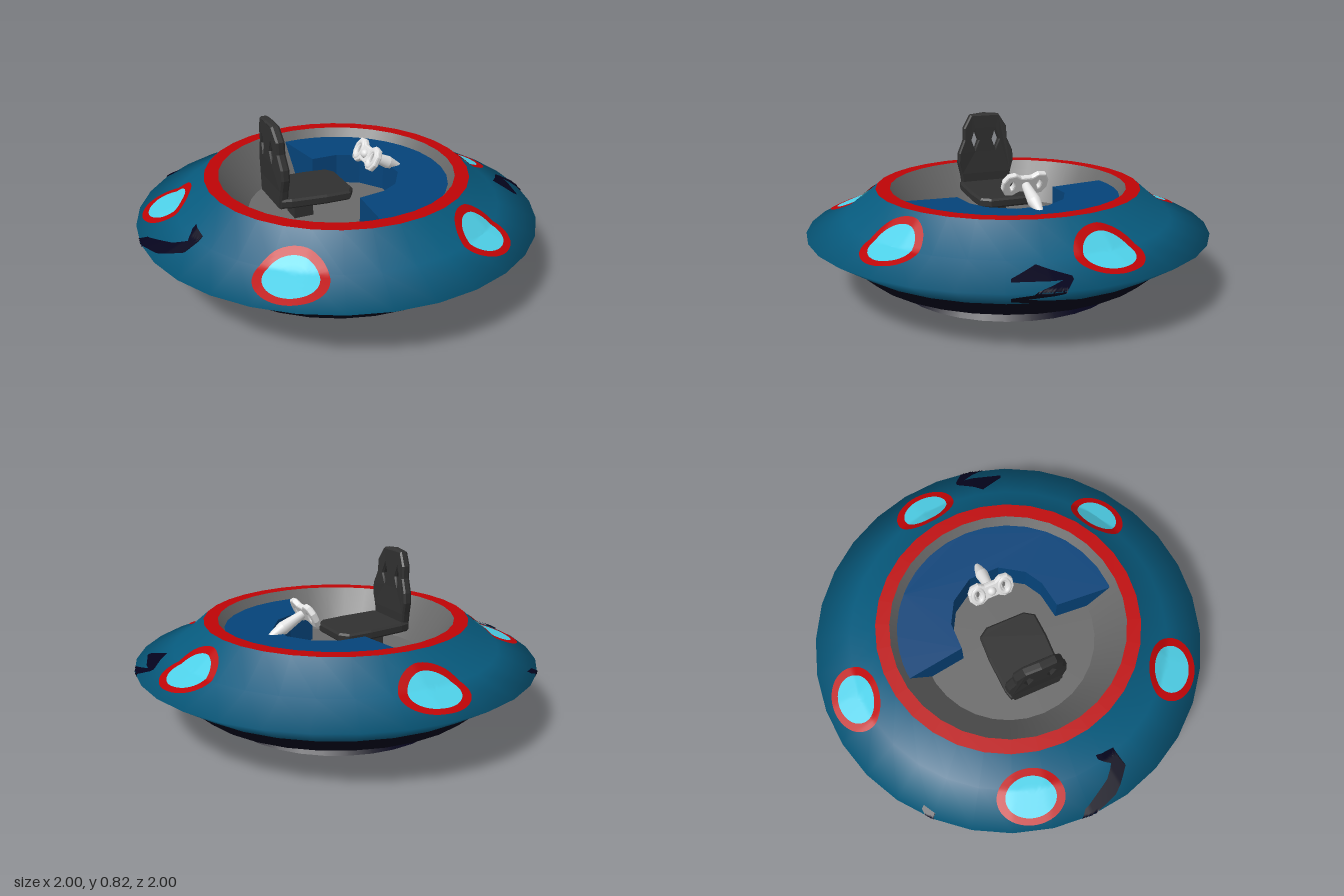
import * as THREE from 'three';

const material = (name, color) => {
  const m = new THREE.MeshStandardMaterial({ color, side: THREE.DoubleSide });
  m.name = name;
  return m;
};
const SEGMENTS = 32, STEP = Math.PI * 2 / SEGMENTS;
const UPPER = [[0.66, 0.505], [0.81, 0.376], [1, 0.305]];
const LOWER = [[0.83, 0.195], [1, 0.305]];

// Height of a hull profile at a given radius
function heightAt(profile, r) {
  let i = 1;
  while (i < profile.length - 1 && r > profile[i][0]) i++;
  const [r0, y0] = profile[i - 1], [r1, y1] = profile[i];
  return y0 + (y1 - y0) * (r - r0) / (r1 - r0);
}
// Ratio between the true circle and the many-sided hull at an angle
function facet(angle) {
  const f = (((angle % STEP) + STEP) % STEP) - STEP / 2;
  return Math.cos(STEP / 2) / Math.cos(f);
}
// Point just outside the hull; radius is that of the hull corner
function onHull(angle, radius, below) {
  const r = radius * facet(angle) + 0.003;
  const y = heightAt(below ? LOWER : UPPER, radius) + (below ? -0.005 : 0.005);
  return [Math.cos(angle) * r, y, Math.sin(angle) * r];
}
// Grid surface from a function of two 0..1 parameters
function grid(nu, nv, fn) {
  const pos = [], index = [];
  for (let i = 0; i <= nu; i++) for (let j = 0; j <= nv; j++) pos.push(...fn(i / nu, j / nv));
  for (let i = 0; i < nu; i++) for (let j = 0; j < nv; j++) {
    const a = i * (nv + 1) + j, b = a + nv + 1;
    index.push(a, a + 1, b, b, a + 1, b + 1);
  }
  const g = new THREE.BufferGeometry();
  g.setAttribute('position', new THREE.Float32BufferAttribute(pos, 3));
  g.setIndex(index);
  g.computeVertexNormals();
  return g;
}
const polygon = pts => new THREE.Shape(pts.map(p => new THREE.Vector2(...p)));

export function createModel() {
  const root = new THREE.Group();
  root.name = 'flyingSaucer';
  const teal = material('hull teal', 0x075a7d), red = material('trim red', 0xbe0406);
  const cyan = material('window cyan', 0x4ed0e8), navy = material('dark navy', 0x04031c);
  const grey = material('cabin grey', 0x696969), blue = material('console blue', 0x054379);
  const black = material('seat charcoal', 0x303030), silver = material('control silver', 0xe2e2e2);

  const add = (name, geometry, mat, parent = root) => {
    const mesh = new THREE.Mesh(geometry, mat);
    mesh.name = name;
    parent.add(mesh);
    return mesh;
  };
  const lathe = (name, pts, mat) =>
    add(name, new THREE.LatheGeometry(pts.map(p => new THREE.Vector2(...p)), SEGMENTS), mat);

  // Hull, from the foot up and over into the cabin
  lathe('footBase', [[0, 0], [0.565, 0]], navy);
  lathe('foot', [[0.565, 0], [0.49, 0.105]], navy);
  lathe('underside', [[0.49, 0.105], [0.73, 0.105]], navy);
  lathe('lowerHull', [[0.73, 0.105], [0.83, 0.195]], navy);
  lathe('hull', [LOWER[0], ...[...UPPER].reverse()], teal);
  lathe('rimRing', [[0.66, 0.505], [0.59, 0.505]], red);
  lathe('cabinWall', [[0.59, 0.505], [0.45, 0.3]], grey);
  lathe('cabinFloor', [[0.45, 0.3], [0, 0.3]], grey);

  // Oval windows with red frames, laid on the upper hull: centre x, z and half width
  const windows = [[-0.515, 0.67, 0.165], [0.405, 0.7, 0.15], [0.813, -0.132, 0.165],
    [-0.025, -0.833, 0.168], [-0.81, -0.238, 0.165]];
  for (const [cx, cz, halfWidth] of windows) {
    const c = Math.hypot(cx, cz), ux = cx / c, uz = cz / c;
    const oval = (from, to) => grid(6, 48, (u, v) => {
      const k = from + (to - from) * u, t = v * Math.PI * 2;
      const out = 0.125 * k * Math.cos(t), side = halfWidth * k * Math.sin(t);
      const x = cx + ux * out - uz * side, z = cz + uz * out + ux * side;
      const angle = Math.atan2(z, x);
      return onHull(angle, Math.min(0.99, Math.hypot(x, z) / facet(angle)), false);
    });
    add('windowGlass', oval(0, 0.745), cyan);
    add('windowFrame', oval(0.745, 1), red);
  }

  // Zigzag flashes: path of [angle, distance in from the rim (negative is below), half width]
  const flash = path => {
    const n = path.length - 1;
    add('zigzagFlash', grid(n * 16, 8, (u, v) => {
      const i = Math.min(n - 1, Math.floor(u * n)), f = u * n - i;
      const [a, s, w] = path[i].map((p, k) => p + (path[i + 1][k] - p) * f);
      const d = Math.min(0.3, Math.max(-0.165, s + (v * 2 - 1) * w));
      return onHull(a, 1 - Math.abs(d), d < 0);
    }), navy);
  };
  flash([[0.37, 0.07, 0.01], [0.25, 0.11, 0.05], [0.1, 0.07, 0.01], [0.16, 0.02, 0.035],
    [0.37, -0.08, 0.03], [0.25, -0.12, 0.03], [0.06, -0.145, 0.01]]);
  flash([[Math.PI - 0.16, 0.22, 0.01], [Math.PI - 0.28, 0.16, 0.05], [Math.PI - 0.15, 0.07, 0.04],
    [Math.PI + 0.02, 0.015, 0.025], [Math.PI + 0.08, -0.06, 0.02]]);
  flash([[-2.29, 0.03, 0.01], [-2.36, 0.0, 0.03], [-2.28, -0.06, 0.03], [-2.48, -0.11, 0.03], [-2.3, -0.15, 0.01]]);

  // Console wrapping the left half of the cabin
  const edge = [[-0.02, -0.26], [0.12, -0.26], [0.23, -0.2], [0.31, -0.08],
    [0.31, 0.08], [0.23, 0.2], [0.14, 0.25], [0, 0.27]];
  const arc = [];
  for (let i = 0; i <= 16; i++) {
    const t = 1.61 - i / 16 * (1.61 + 1.68);
    arc.push([0.56 * Math.cos(t), 0.56 * Math.sin(t)]);
  }
  const console3d = new THREE.ExtrudeGeometry(polygon([...edge, ...arc].map(([x, z]) => [x, -z])),
    { depth: 0.16, bevelEnabled: false });
  console3d.rotateX(-Math.PI / 2);
  add('console', console3d, blue).position.y = 0.3;

  // Seat back with two diamond openings
  const seat = new THREE.Group();
  seat.name = 'seat';
  root.add(seat);
  const half = [[0.12, 0.41], [0.135, 0.5], [0.15, 0.56], [0.146, 0.61], [0.115, 0.68], [0.115, 0.74], [0.075, 0.805]];
  const back = polygon([...half, [0, 0.812], ...half.map(([x, y]) => [-x, y]).reverse()]);
  for (const s of [-1, 1]) {
    back.holes.push(new THREE.Path([[0, 0.615], [0.026, 0.675], [0, 0.74], [-0.026, 0.675]]
      .map(([x, y]) => new THREE.Vector2(x + s * 0.058, y))));
  }
  const backGeometry = new THREE.ExtrudeGeometry(back,
    { depth: 0.024, bevelSize: 0.006, bevelThickness: 0.01, bevelSegments: 1 });
  backGeometry.rotateY(Math.PI / 2);
  const bp = backGeometry.attributes.position;
  for (let i = 0; i < bp.count; i++) {
    // Lean the top slightly and wrap the sides forward
    bp.setX(i, bp.getX(i) - 0.357 + 0.7 * bp.getZ(i) ** 2 - 0.05 * Math.max(0, bp.getY(i) - 0.7));
  }
  backGeometry.computeVertexNormals();
  add('seatBack', backGeometry, black, seat);

  // Seat pan, dropping towards the front, and its support
  const pan = polygon([[-0.34, -0.13], [-0.3, -0.14], [-0.12, -0.148], [0, -0.143], [0.03, -0.1],
    [0.03, 0.1], [0, 0.143], [-0.12, 0.148], [-0.3, 0.14], [-0.34, 0.13]]);
  const panGeometry = new THREE.ExtrudeGeometry(pan,
    { depth: 0.028, bevelSize: 0.01, bevelThickness: 0.01, bevelSegments: 1 });
  panGeometry.rotateX(-Math.PI / 2);
  const panMesh = add('seatPan', panGeometry, black, seat);
  panMesh.position.y = 0.405;
  panMesh.rotation.z = -0.04;
  add('seatSupport', new THREE.BoxGeometry(0.1, 0.11, 0.1), black, seat).position.set(-0.2, 0.355, 0);

  // Control yoke: plate with two ring grips, hub and tapered column
  const yoke = new THREE.Group();
  yoke.name = 'controlYoke';
  yoke.applyMatrix4(new THREE.Matrix4().makeBasis(new THREE.Vector3(0, 0, 1),
    new THREE.Vector3(0.47, 0.8827, 0), new THREE.Vector3(-0.8827, 0.47, 0)).setPosition(0.18, 0.545, -0.015));
  root.add(yoke);
  const quarter = [[0.03, 0.035], [0.06, 0.055], [0.092, 0.05], [0.11, 0.02]];
  const plate = polygon([...quarter, ...quarter.map(([x, y]) => [x, -y]).reverse(),
    ...quarter.map(([x, y]) => [-x, -y]), ...quarter.map(([x, y]) => [-x, y]).reverse()]);
  const grip = new THREE.TorusGeometry(0.032, 0.013, 8, 24);
  grip.scale(0.85, 1.3, 1.3);
  for (const s of [-1, 1]) {
    const hole = new THREE.Path();
    hole.absellipse(s * 0.07, 0, 0.018, 0.032, 0, Math.PI * 2);
    plate.holes.push(hole);
    add('yokeGrip', grip, silver, yoke).position.set(s * 0.07, 0, 0.004);
  }
  const plateGeometry = new THREE.ExtrudeGeometry(plate,
    { depth: 0.014, bevelSize: 0.008, bevelThickness: 0.008, bevelSegments: 2, curveSegments: 8 });
  add('yokePlate', plateGeometry, silver, yoke).position.z = -0.007;
  add('yokeHub', new THREE.SphereGeometry(0.024, 16, 10), silver, yoke).position.z = 0.012;
  const column = (radiusNear, radiusFar, length, z) => {
    const g = new THREE.CylinderGeometry(radiusNear, radiusFar, length, 16);
    g.rotateX(Math.PI / 2);
    add('yokeColumn', g, silver, yoke).position.z = z;
  };
  column(0.02, 0.033, 0.13, -0.07);
  column(0.033, 0.012, 0.1, -0.185);

  return root;
}
